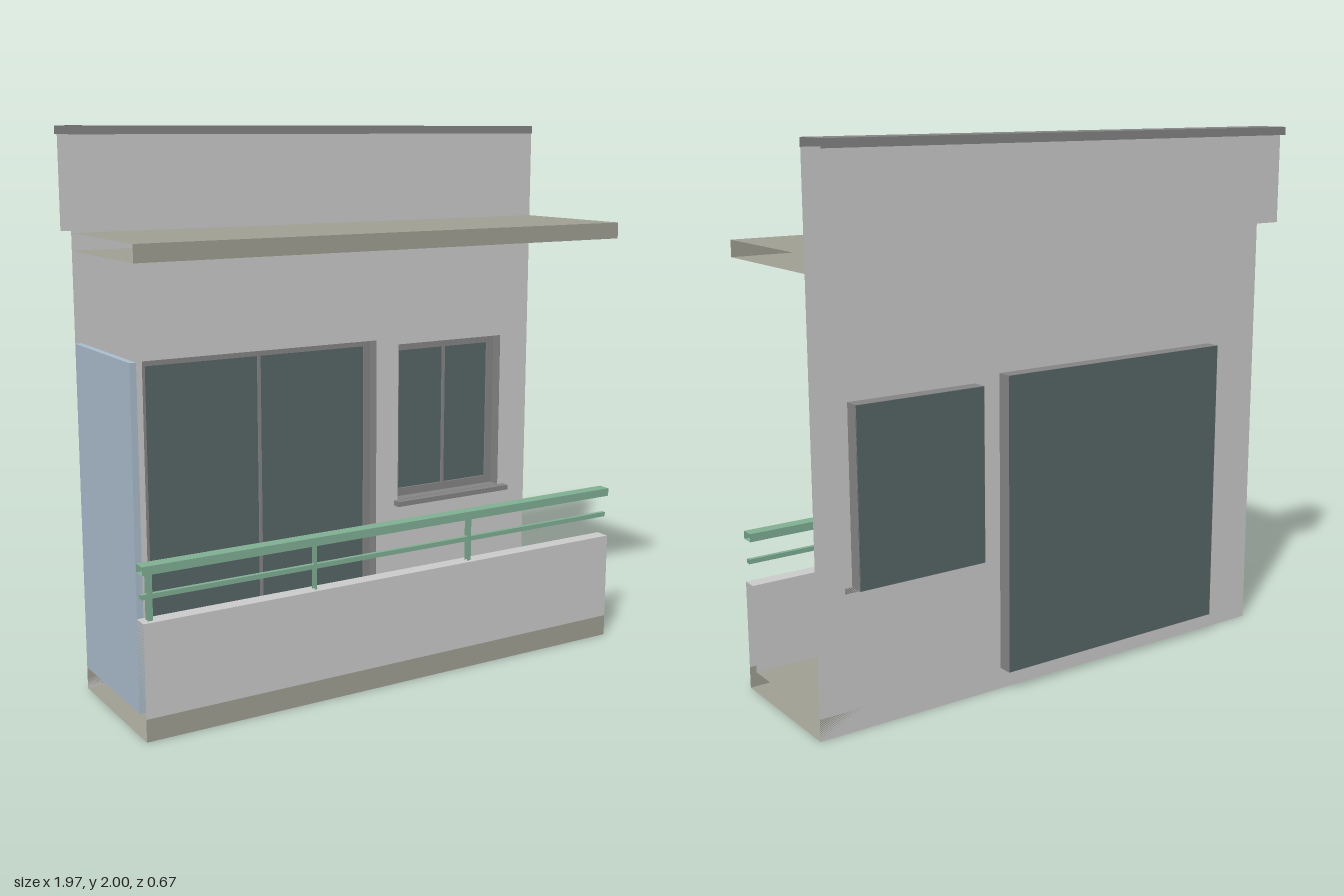
import * as THREE from 'three';

const X = 0.984, WALL = -0.204, FRONT = 0.336, FLOOR = 0.08, PARAPET = 0.28;

const material = (color) => new THREE.MeshStandardMaterial({ color, side: THREE.DoubleSide });
const plaster = material(0xcccccc), concrete = material(0xa0a094), trim = material(0x858585);
const glass = material(0x586668), blue = material(0xaabccc), green = material(0x80b094);

function add(parent, name, geometry, mat) {
  const mesh = new THREE.Mesh(geometry, mat);
  mesh.name = name;
  parent.add(mesh);
  return mesh;
}

// Sheet with open ends: a [z, y] profile swept along x
function sweep(profile, x0 = -X, x1 = X) {
  const pos = [];
  for (let i = 0; i + 1 < profile.length; i++) {
    const [z0, y0] = profile[i], [z1, y1] = profile[i + 1];
    pos.push(x0, y0, z0, x1, y0, z0, x1, y1, z1, x0, y0, z0, x1, y1, z1, x0, y1, z1);
  }
  const g = new THREE.BufferGeometry();
  g.setAttribute('position', new THREE.Float32BufferAttribute(pos, 3));
  g.computeVertexNormals();
  return g;
}

const tube = (z0, z1, y0, y1) => sweep([[z0, y0], [z1, y0], [z1, y1], [z0, y1], [z0, y0]]);

function box(x0, x1, y0, y1, z0, z1) {
  return new THREE.BoxGeometry(x1 - x0, y1 - y0, z1 - z0)
    .translate((x0 + x1) / 2, (y0 + y1) / 2, (z0 + z1) / 2);
}

function rectangle(Type, x0, x1, y0, y1) {
  return new Type([[x0, y0], [x1, y0], [x1, y1], [x0, y1]].map(([x, y]) => new THREE.Vector2(x, y)));
}

// Recessed opening: reveal behind the wall, frame ring, mullion and pane
function opening(name, { x0, x1, y0, y1, side, bottom, top }) {
  const group = new THREE.Group();
  group.name = name;
  const back = -0.26, face = -0.25;
  const t = 0.001;
  add(group, 'revealLeft', box(x1 - t, x1, y0, y1, back, WALL), trim);
  add(group, 'revealRight', box(x0, x0 + t, y0, y1, back, WALL), trim);
  add(group, 'revealTop', box(x0, x1, y1 - t, y1, back, WALL), trim);
  add(group, 'revealBottom', box(x0, x1, y0, y0 + t, back, WALL), trim);
  const ring = rectangle(THREE.Shape, x0, x1, y0, y1);
  ring.holes.push(rectangle(THREE.Path, x0 + side, x1 - side, y0 + bottom, y1 - top));
  add(group, 'frame', new THREE.ExtrudeGeometry(ring, { depth: 0.007, bevelEnabled: false })
    .translate(0, 0, face - 0.007), trim);
  const mid = (x0 + x1) / 2;
  add(group, 'mullion', box(mid - 0.006, mid + 0.006, y0 + bottom, y1 - top, -0.257, face), trim);
  add(group, 'pane', box(x0, x1, y0, y1, back, -0.257), glass);
  return group;
}

export function createModel() {
  const model = new THREE.Group();
  model.name = 'balconyFacade';

  const door = { x0: -0.74, x1: 0.245, y0: FLOOR, y1: 1.177, side: 0.03, bottom: 0.002, top: 0.027 };
  const window = { x0: 0.347, x1: 0.847, y0: 0.52, y1: 1.153, side: 0.033, bottom: 0.033, top: 0.033 };

  // Thin main wall with two openings
  const wall = rectangle(THREE.Shape, -X, X, 0, 1.97);
  for (const o of [door, window]) wall.holes.push(rectangle(THREE.Path, o.x0, o.x1, o.y0, o.y1));
  add(model, 'wall', new THREE.ShapeGeometry(wall).translate(0, 0, WALL), plaster);
  model.add(opening('slidingDoor', door), opening('window', window));
  add(model, 'windowSill', box(0.33, 0.875, 0.5, 0.52, WALL, -0.17), trim);

  // Roof parapet: back sheet and overhanging cap
  add(model, 'roofParapetBack', sweep([[-0.31, 1.64], [-0.31, 1.97]]), plaster);
  add(model, 'roofCap', sweep([[-0.31, 1.97], [-0.336, 1.97], [-0.336, 2], [-0.2, 2], [-0.2, 1.97], [WALL, 1.97]]), trim);

  // Open-ended canopy and balcony floor
  add(model, 'canopy', sweep([[WALL, 1.64], [FRONT, 1.64], [FRONT, 1.58], [WALL, 1.58]]), concrete);
  add(model, 'floorSlab', sweep([[PARAPET, FLOOR], [WALL, FLOOR], [WALL, 0], [FRONT, 0], [FRONT, FLOOR]]), concrete);
  add(model, 'balconyParapet', sweep([[FRONT, FLOOR], [FRONT, 0.41], [PARAPET, 0.41], [PARAPET, FLOOR]]), plaster);

  // Privacy screen at one end
  add(model, 'sideScreen', box(-X, -0.961, FLOOR, 1.26, WALL, PARAPET), blue);

  // Railing: hollow rails on flat posts
  const railing = new THREE.Group();
  railing.name = 'railing';
  add(railing, 'topRail', tube(0.285, 0.334, 0.572, 0.602), green);
  add(railing, 'middleRail', tube(0.302, 0.318, 0.485, 0.502), green);
  for (const [x, w] of [[-0.953, 0.02], [-0.331, 0.012], [0.325, 0.018]])
    for (const z of [0.302, 0.318])
      add(railing, 'post', sweep([[z, 0.41], [z, 0.572]], x - w / 2, x + w / 2), green);
  model.add(railing);

  return model;
}
